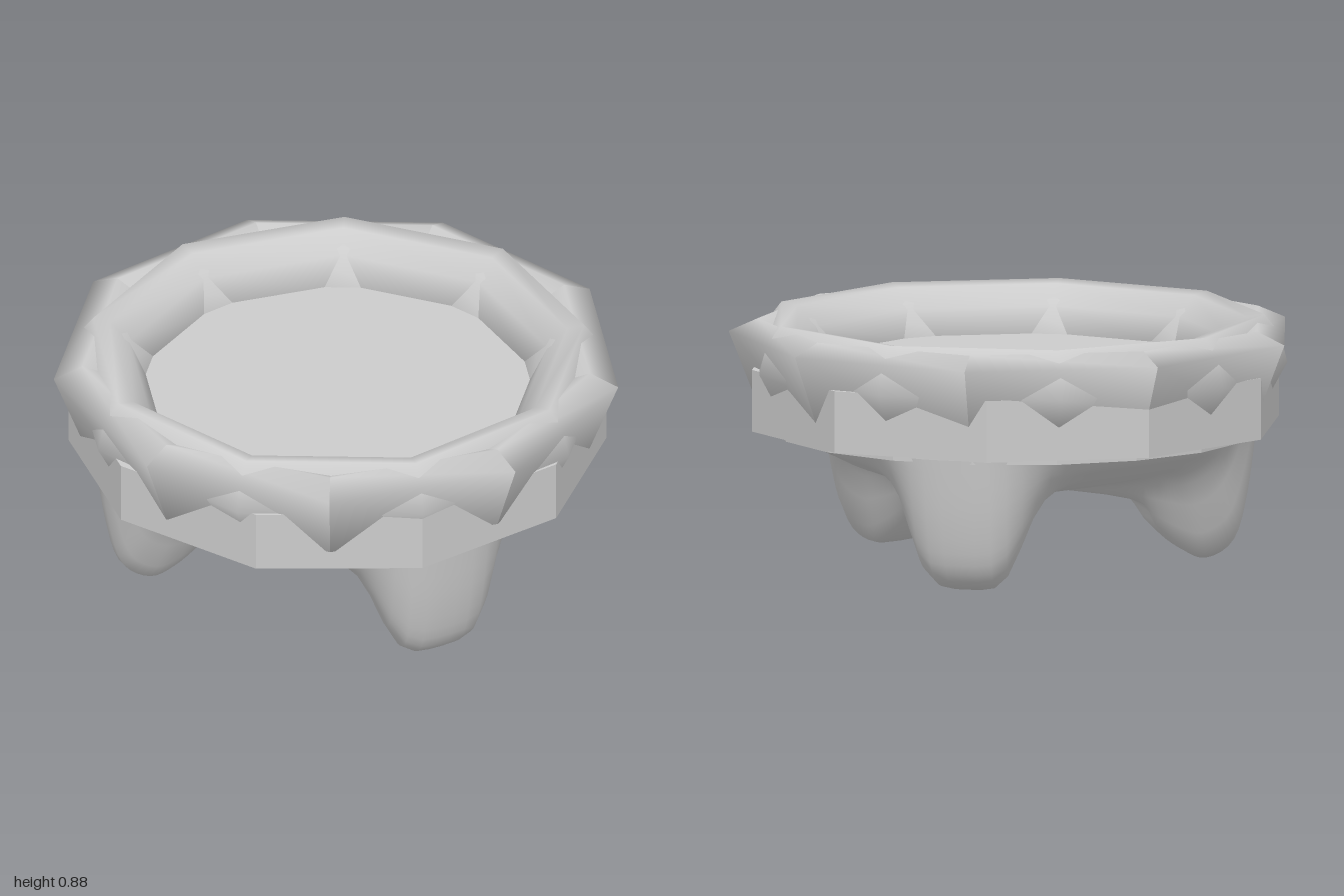
import * as THREE from 'three';
import { mergeVertices } from 'three/addons/utils/BufferGeometryUtils.js';

const CENTRE_Z = 0.03;
const TAU = Math.PI * 2;
const rad = THREE.MathUtils.degToRad;

// Sweep a profile of [radius, height] points around the vertical axis; it may vary with the angle.
function sweep(profileAt, segments, start = 0, arc = TAU) {
  const positions = [], indices = [];
  let count = 0;
  for (let i = 0; i <= segments; i++) {
    const angle = start + (arc * i) / segments;
    const profile = profileAt(angle);
    count = profile.length;
    for (const [r, y] of profile) positions.push(r * Math.sin(angle), y, r * Math.cos(angle));
  }
  for (let i = 0; i < segments; i++) {
    for (let j = 0; j < count - 1; j++) {
      const a = i * count + j, b = a + count;
      indices.push(a, b, a + 1, b, b + 1, a + 1);
    }
  }
  const geometry = new THREE.BufferGeometry();
  geometry.setAttribute('position', new THREE.Float32BufferAttribute(positions, 3));
  geometry.setIndex(indices);
  const welded = mergeVertices(geometry);
  welded.computeVertexNormals();
  return welded;
}

const smoothProfile = (points, n) =>
  new THREE.SplineCurve(points.map(([x, y]) => new THREE.Vector2(x, y))).getPoints(n);

export function createModel() {
  const model = new THREE.Group();
  const material = new THREE.MeshStandardMaterial({ color: 0xcccccc });
  const flat = new THREE.MeshStandardMaterial({ color: 0xcccccc, flatShading: true });

  const add = (name, geometry, mat = material, y = 0, parent = model) => {
    const mesh = new THREE.Mesh(geometry, mat);
    mesh.name = name;
    mesh.position.set(0, y, parent === model ? CENTRE_Z : 0);
    parent.add(mesh);
  };

  // Ten-sided drum whose top is the dish floor
  add('drum', new THREE.CylinderGeometry(0.95, 0.95, 0.22, 10), flat, 0.61);

  // Outer rim: nine straight segments with sharp corners between them
  const outerProfile = [[0.76, 0.56], [0.91, 0.57], [1.012, 0.83], [0.91, 0.875], [0.81, 0.83], [0.705, 0.7], [0.76, 0.56]];
  const rim = new THREE.Group();
  rim.name = 'outerRim';
  rim.position.z = CENTRE_Z;
  for (let i = 0; i < 9; i++) {
    add('rimSegment', sweep(() => outerProfile, 1, rad(20 + 40 * i), rad(40)), material, 0, rim);
  }
  model.add(rim);

  // Inner rim: turned half a segment so its corners bulge through the outer rim
  const innerProfile = [[0.8, 0.57], [0.9, 0.61], [0.96, 0.72], [0.935, 0.82], [0.88, 0.89], [0.82, 0.88], [0.75, 0.81], [0.69, 0.7], [0.8, 0.57]];
  add('innerRim', sweep(() => innerProfile, 9));

  // Thin plate between the drum and the legs
  add('basePlate', new THREE.CylinderGeometry(0.86, 0.86, 0.03, 18), flat, 0.493);

  // Bowl-shaped underside flowing into three legs
  const legLine = smoothProfile(
    [[0, 0.28], [0.42, 0.22], [0.5, 0.12], [0.59, 0.04], [0.68, 0.005], [0.78, 0.07], [0.83, 0.25], [0.86, 0.49]], 28);
  const bowlLine = smoothProfile(
    [[0, 0.28], [0.3, 0.3], [0.45, 0.33], [0.54, 0.36], [0.6, 0.38], [0.66, 0.41], [0.72, 0.44], [0.78, 0.49]], 28);
  const legAngles = [10.8, 136, 254.5];
  add('legs', sweep((angle) => {
    const degrees = THREE.MathUtils.radToDeg(angle);
    const away = Math.min(...legAngles.map((leg) => Math.abs(((degrees - leg + 540) % 360) - 180)));
    const weight = 1 / (1 + (away / 17.5) ** 5);
    return legLine.map((p, k) => [
      THREE.MathUtils.lerp(bowlLine[k].x, p.x, weight),
      Math.max(0, THREE.MathUtils.lerp(bowlLine[k].y, p.y, weight)),
    ]);
  }, 90));

  return model;
}
